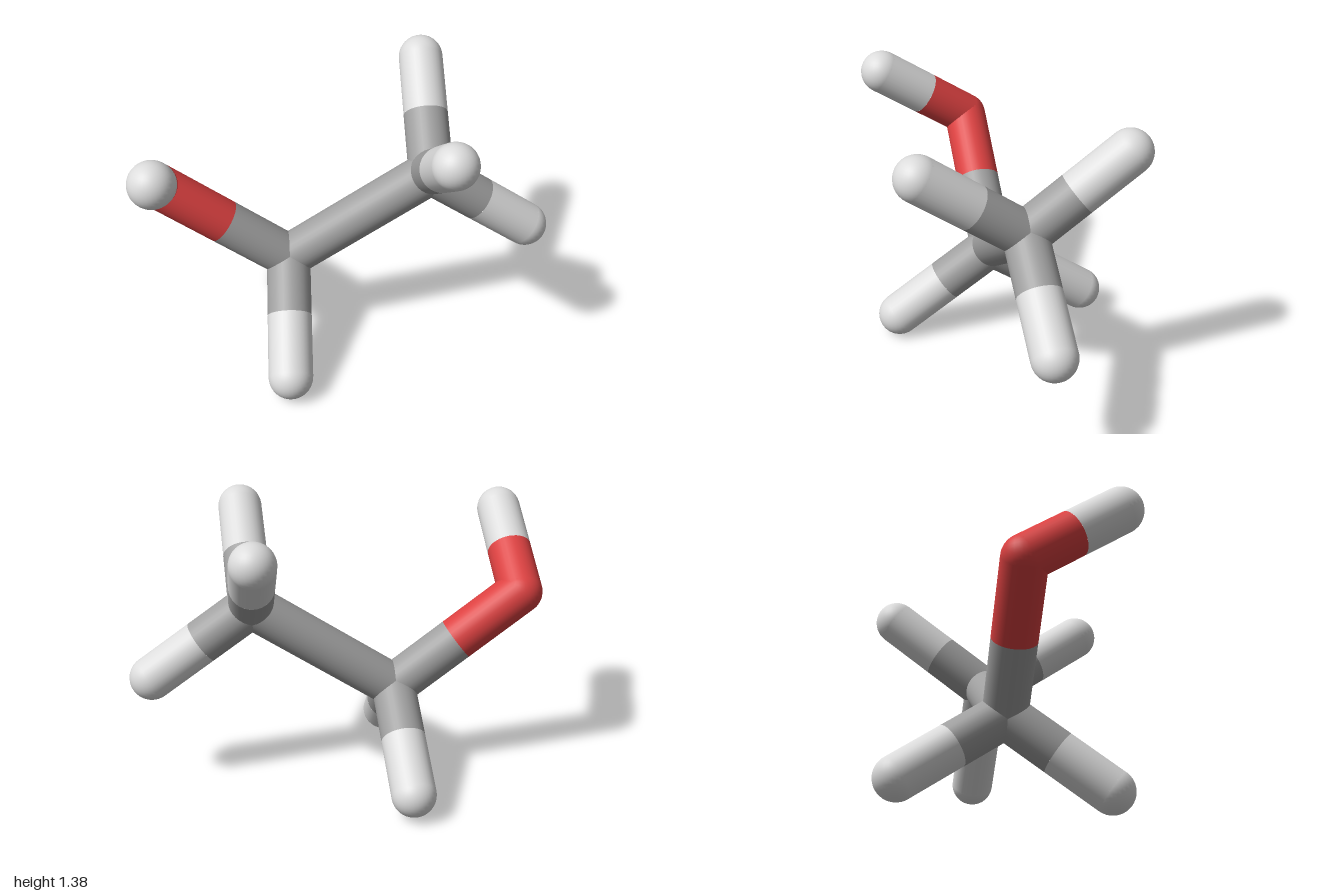
import * as THREE from 'three';

const R = 0.107; // stick radius

export function createModel() {
  const group = new THREE.Group();
  const mat = (name, color) => {
    const m = new THREE.MeshStandardMaterial({ color });
    m.name = name;
    return m;
  };
  const grey = mat('carbon grey', 0xa0a0a0);
  const white = mat('hydrogen white', 0xdcdcdc);
  const red = mat('oxygen red', 0xdc4141);

  const atom = (name, material, x, y, z) => ({ name, material, p: new THREE.Vector3(x, y, z) });
  const c1 = atom('carbonMiddle', grey, -0.28, 0.465, 0);
  const c2 = atom('carbonEnd', grey, 0.41, 0.915, 0);
  const o = atom('oxygen', red, -0.893, 0.932, 0);
  const hO = atom('hydrogenOnOxygen', white, -0.873, 1.223, 0.435);
  const h1 = atom('hydrogenMiddleFront', white, -0.308, 0.108, 0.482);
  const h2 = atom('hydrogenMiddleBack', white, -0.308, 0.122, -0.487);
  const h3 = atom('hydrogenEndFront', white, 0.43, 1.263, 0.482);
  const h4 = atom('hydrogenEndBack', white, 0.418, 1.278, -0.473);
  const h5 = atom('hydrogenEndSide', white, 0.893, 0.572, -0.01);

  // Rounded joints and stick ends
  const ball = new THREE.SphereGeometry(R, 32, 20);
  for (const a of [c1, c2, o, hO, h1, h2, h3, h4, h5]) {
    const joint = new THREE.Mesh(ball, a.material);
    joint.name = a.name;
    joint.position.copy(a.p);
    group.add(joint);
  }

  // Half a stick, from an atom to the middle of its bond
  const up = new THREE.Vector3(0, 1, 0);
  function halfStick(a, b) {
    const dir = b.p.clone().sub(a.p);
    const half = dir.length() / 2;
    const stick = new THREE.Mesh(new THREE.CylinderGeometry(R, R, half, 32, 1, true), a.material);
    stick.name = `${a.name}Stick`;
    stick.quaternion.setFromUnitVectors(up, dir.clone().normalize());
    stick.position.copy(a.p).addScaledVector(dir, 0.25);
    group.add(stick);
  }

  // Bonds, each coloured half by half
  for (const [a, b] of [[c1, c2], [c1, o], [o, hO], [c1, h1], [c1, h2], [c2, h3], [c2, h4], [c2, h5]]) {
    halfStick(a, b);
    halfStick(b, a);
  }
  return group;
}
